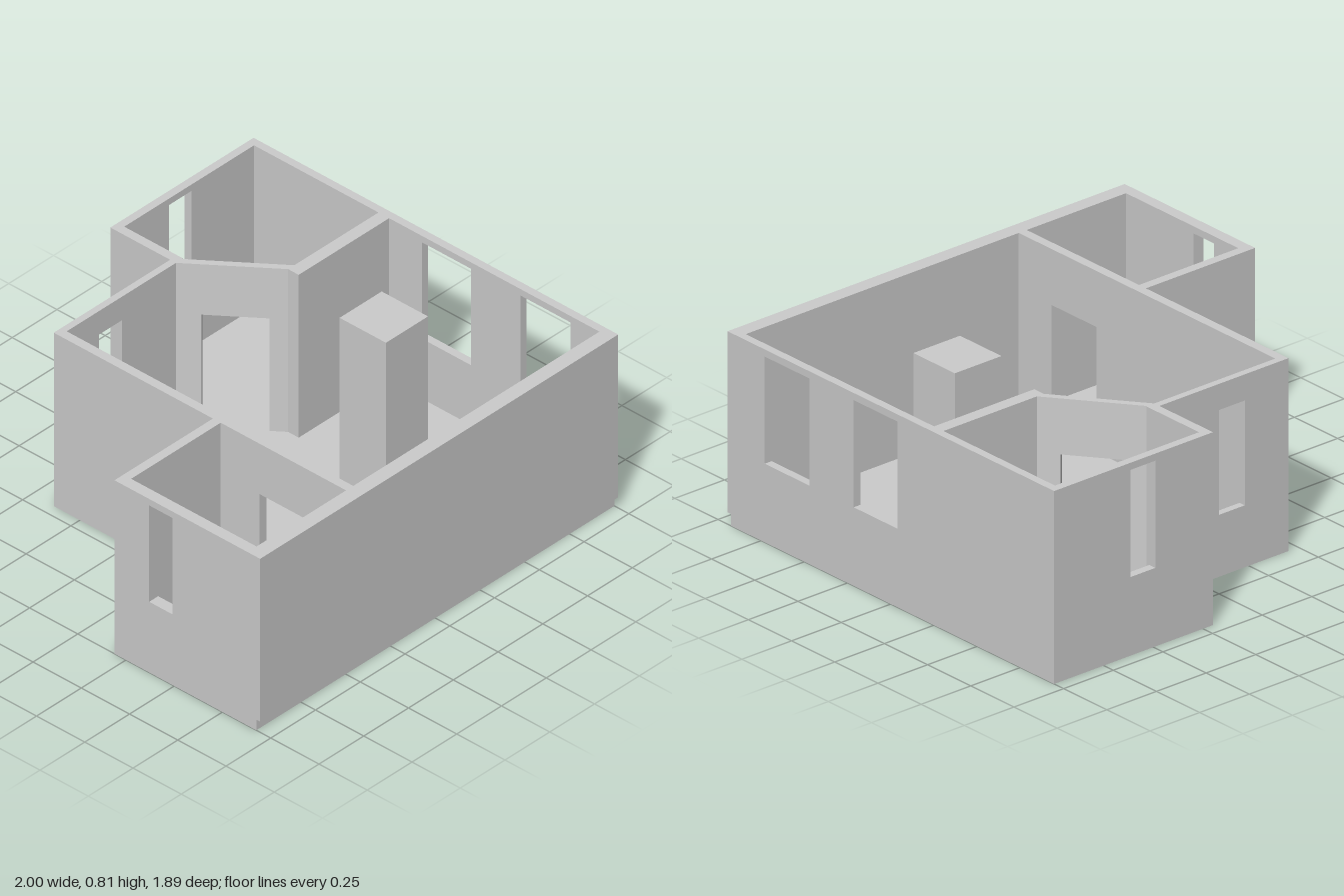
import * as THREE from 'three';

const FLOOR = 0.05, TOP = 0.81;
const material = new THREE.MeshStandardMaterial({ color: 0xcccccc, flatShading: true });

// Wall from (x1, z1) to (x2, z2), thickened towards (-dz, dx).
// Openings are [start, end, bottom, top], measured along the wall.
function wall(name, x1, z1, x2, z2, thickness, openings = []) {
  const dx = x2 - x1, dz = z2 - z1, length = Math.hypot(dx, dz);
  const shape = new THREE.Shape().moveTo(0, FLOOR);
  for (const [a, b, bottom, top] of openings) {
    if (bottom <= FLOOR) {
      // doorway: a notch in the lower edge
      shape.lineTo(a, FLOOR).lineTo(a, top).lineTo(b, top).lineTo(b, FLOOR);
    } else {
      // window: a hole
      shape.holes.push(new THREE.Path().moveTo(a, bottom).lineTo(a, top).lineTo(b, top).lineTo(b, bottom).closePath());
    }
  }
  shape.lineTo(length, FLOOR).lineTo(length, TOP).lineTo(0, TOP).closePath();
  const mesh = new THREE.Mesh(new THREE.ExtrudeGeometry(shape, { depth: thickness, bevelEnabled: false }), material);
  mesh.name = name;
  mesh.position.set(x1, 0, z1);
  mesh.rotation.y = Math.atan2(-dz, dx);
  return mesh;
}

export function createModel() {
  const house = new THREE.Group();
  house.name = 'house';

  // Floor slab, set back a little under the front wall
  const outline = [[-1, 0.19], [-0.45, 0.19], [-0.45, -0.635], [0.2, -0.635],
    [0.2, -0.945], [1, -0.945], [1, 0.925], [-1, 0.925]];
  const plan = new THREE.Shape(outline.map(([x, z]) => new THREE.Vector2(x, -z)));
  const floor = new THREE.Mesh(new THREE.ExtrudeGeometry(plan, { depth: FLOOR, bevelEnabled: false }), material);
  floor.rotation.x = -Math.PI / 2;
  floor.name = 'floorSlab';
  house.add(floor);

  // Outer walls
  house.add(
    wall('frontWall', -1, 0.88, 1, 0.88, 0.065),
    wall('leftWall', 1, -0.945, 1, 0.88, 0.035, [[0.905, 1.16, 0.33, 0.78], [1.415, 1.675, 0.33, 0.78]]),
    wall('backRoomBackWall', 0.2, -0.945, 0.965, -0.945, 0.035, [[0.29, 0.415, 0.33, 0.78]]),
    wall('backRoomSideWall', 0.24, -0.91, 0.24, -0.605, 0.04),
    wall('mainRoomBackWall', -0.45, -0.635, 0.2, -0.635, 0.03, [[0.22, 0.35, 0.26, 0.7]]),
    wall('sideRoomBackWall', -1, 0.19, -0.45, 0.19, 0.04),
    wall('sideRoomOuterWall', -0.95, 0.23, -0.95, 0.88, 0.05, [[0.14, 0.26, 0.33, 0.78]]),
  );

  // Inner walls with doorways
  house.add(
    wall('sideRoomPartition', -0.41, -0.605, -0.41, 0.88, 0.04, [[1.035, 1.295, FLOOR, 0.575]]),
    wall('backRoomPartition', 0.46, -0.265, 0.965, -0.265, 0.055),
    wall('diagonalPartition', 0.478, -0.241, 0.2, -0.605, 0.028, [[0.1, 0.36, FLOOR, 0.575]]),
  );

  // Pillar in the main room
  const pillar = new THREE.Mesh(new THREE.BoxGeometry(0.235, TOP - FLOOR, 0.24), material);
  pillar.position.set(0.4775, (TOP + FLOOR) / 2, 0.215);
  pillar.name = 'pillar';
  house.add(pillar);

  return house;
}
